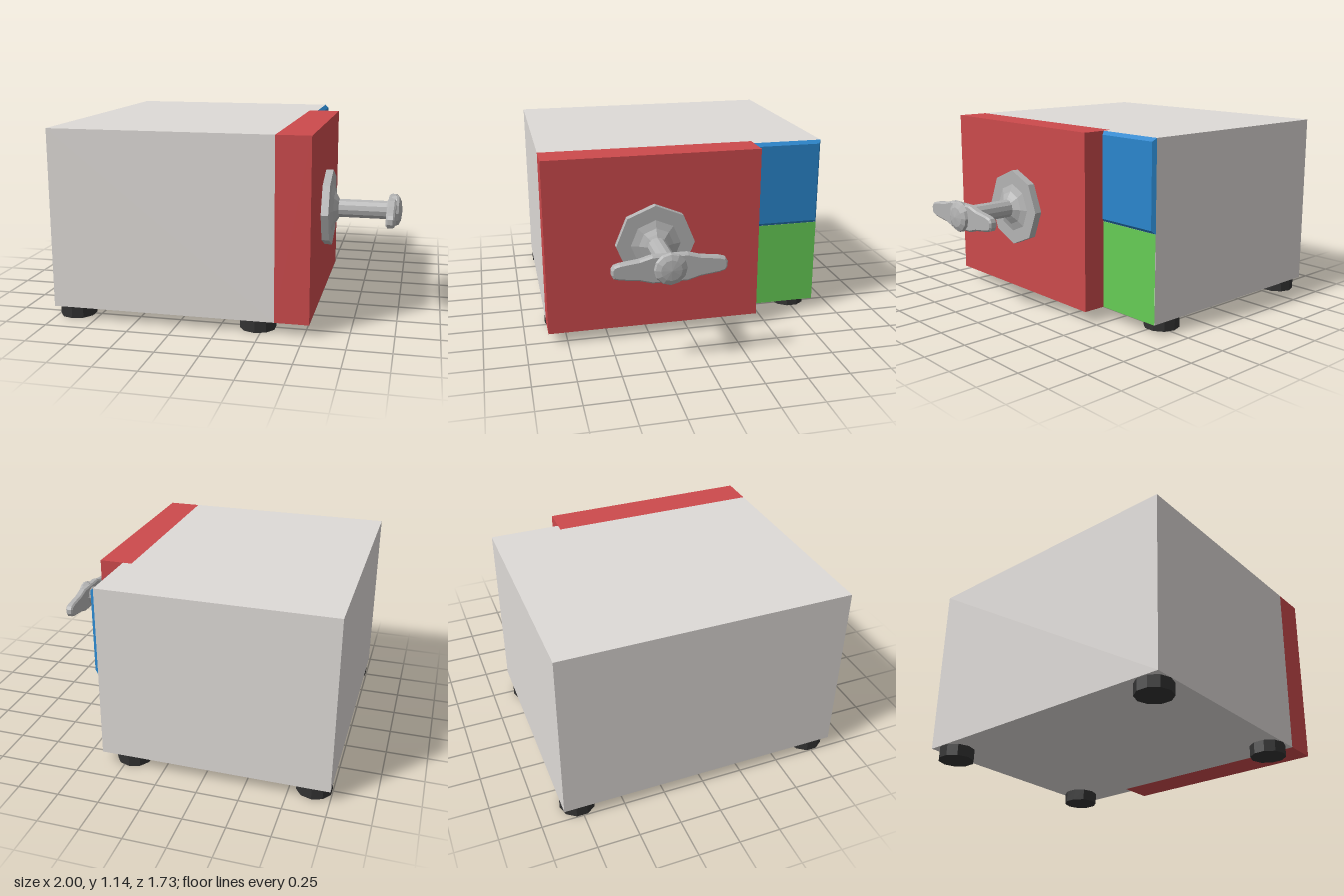
import * as THREE from 'three';

const mat = (color) => new THREE.MeshStandardMaterial({ color, flatShading: true });

export function createModel() {
  const model = new THREE.Group();
  const steel = mat(0xb4b4b4);
  const add = (name, geometry, material, x = 0, y = 0, z = 0, parent = model) => {
    const mesh = new THREE.Mesh(geometry, material);
    mesh.name = name;
    mesh.position.set(x, y, z);
    parent.add(mesh);
    return mesh;
  };

  const base = 0.07, top = 1.135, height = top - base, midY = (base + top) / 2;
  const depth = 0.865, split = -0.435, face = 0.385, doorBack = 0.33;

  // Case, stepped back where the door is seated
  const outline = new THREE.Shape([
    [-1, -depth], [doorBack, -depth], [doorBack, -split],
    [face, -split], [face, depth], [-1, depth],
  ].map(([x, y]) => new THREE.Vector2(x, y)));
  const caseGeo = new THREE.ExtrudeGeometry(outline, { depth: height, bevelEnabled: false });
  caseGeo.rotateX(-Math.PI / 2);
  add('case', caseGeo, mat(0xdedad7), 0, base, 0);

  // Thick door
  add('door', new THREE.BoxGeometry(0.2, height, depth - split), mat(0xcc4a4c),
    0.43, midY, (depth + split) / 2);

  // Control panel and bevelled screen beside the door
  const panelWidth = depth + split, panelZ = (split - depth) / 2, seam = 0.6;
  const panelGeo = new THREE.PlaneGeometry(panelWidth, seam - base).rotateY(Math.PI / 2);
  add('controlPanel', panelGeo, mat(0x66cc55), face + 0.002, (base + seam) / 2, panelZ);

  const screenHeight = top - seam;
  const screenGeo = new THREE.BoxGeometry(0.022, screenHeight, panelWidth);
  const p = screenGeo.attributes.position;
  for (let i = 0; i < p.count; i++) {
    if (p.getX(i) < 0) continue;
    p.setY(i, p.getY(i) - Math.sign(p.getY(i)) * 0.02);
    p.setZ(i, p.getZ(i) - Math.sign(p.getZ(i)) * 0.015);
  }
  screenGeo.computeVertexNormals();
  add('screen', screenGeo, mat(0x2a86cc), face + 0.011, (seam + top) / 2, panelZ);

  // Four feet
  const footGeo = new THREE.CylinderGeometry(0.107, 0.107, base, 10);
  const rubber = mat(0x333333);
  for (const x of [-0.893, 0.218]) {
    for (const z of [-0.758, 0.758]) add('foot', footGeo, rubber, x, base / 2, z);
  }

  // Handle: all parts share one axis running along x
  const handle = new THREE.Group();
  handle.name = 'handle';
  handle.position.set(0.53, 0.605, 0.216);
  model.add(handle);

  const turned = (points, sides) => new THREE.LatheGeometry(
    points.map(([r, h]) => new THREE.Vector2(r, h)), sides).rotateZ(-Math.PI / 2);

  add('handlePlate', turned([[0, 0], [0.237, 0], [0.237, 0.045], [0, 0.045]], 8),
    steel, 0, 0, 0, handle);
  add('handleCollar', turned([[0.15, 0.045], [0.105, 0.06], [0.075, 0.078], [0.057, 0.088]], 8),
    steel, 0, 0, 0, handle);
  add('handleShaft', turned([[0.057, 0.08], [0.057, 0.375], [0.068, 0.39], [0.085, 0.405],
    [0.095, 0.435], [0.088, 0.45], [0.06, 0.463], [0, 0.47]], 12), steel, 0, 0, 0, handle);

  // Tapered two-ended grip
  const half = [[0.1, 0.08], [0.17, 0.06], [0.28, 0.046], [0.313, 0.036], [0.325, 0.015]];
  const mirror = (sx, sy, pts) => pts.map(([u, v]) => new THREE.Vector2(sx * u, sy * v));
  const back = [...half].reverse();
  const grip = new THREE.Shape([
    ...mirror(1, -1, half), ...mirror(1, 1, back),
    ...mirror(-1, 1, half), ...mirror(-1, -1, back),
  ]);
  const gripGeo = new THREE.ExtrudeGeometry(grip, {
    depth: 0.03, bevelThickness: 0.01, bevelSize: 0.01, bevelOffset: -0.01, bevelSegments: 1,
  }).rotateY(Math.PI / 2);
  add('handleGrip', gripGeo, steel, 0.395, 0, 0, handle);

  return model;
}
